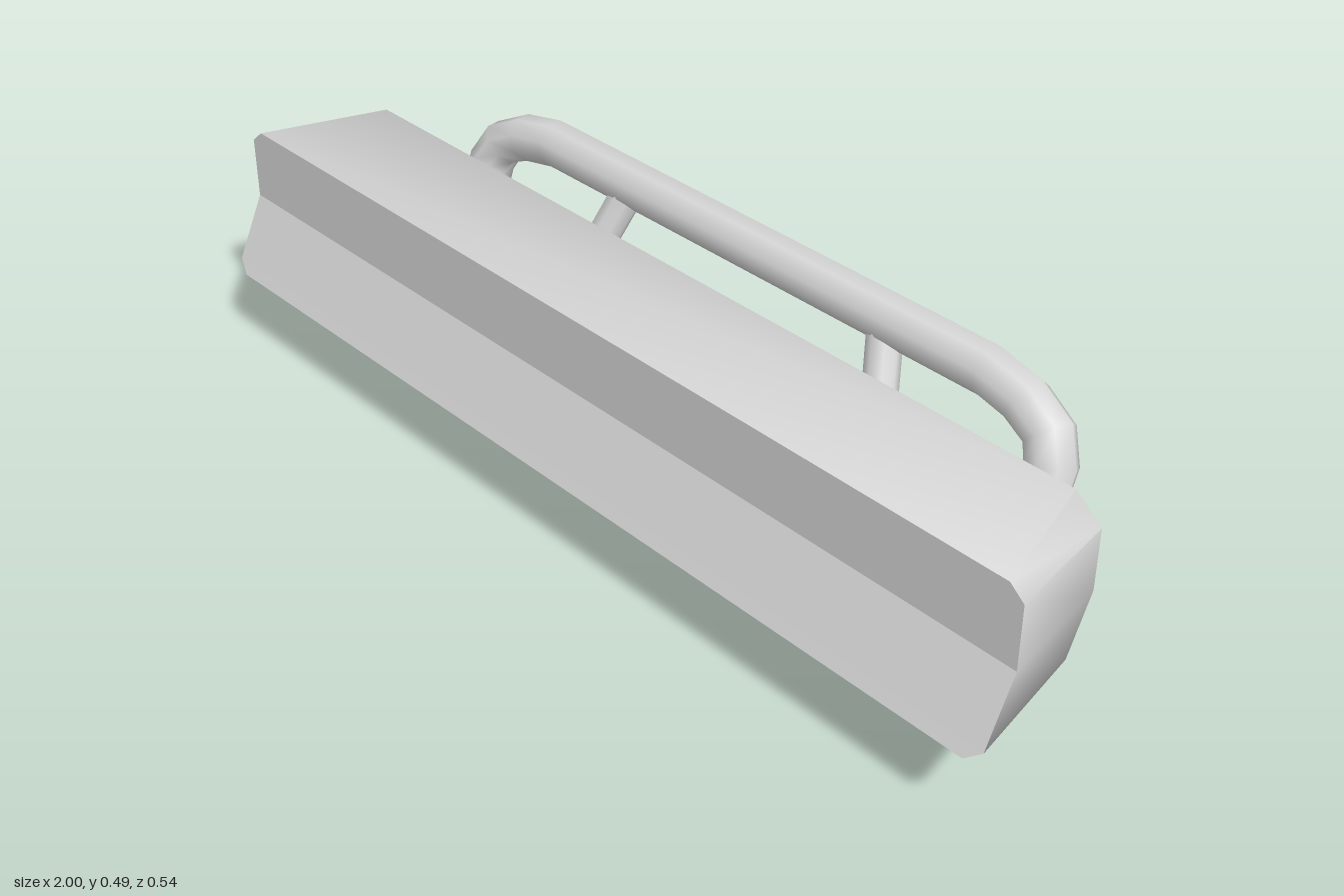
import * as THREE from 'three';
import { toCreasedNormals } from 'three/addons/utils/BufferGeometryUtils.js';

const mirror = (p) => [-p[0], p[1], p[2]];

// Polyline that a TubeGeometry samples exactly at its corners.
class Polyline extends THREE.Curve {
  constructor(points) {
    super();
    this.points = points.map((p) => new THREE.Vector3(...p));
  }
  getPoint(t) {
    return this.points[Math.round(t * (this.points.length - 1))].clone();
  }
  getPointAt(t) {
    return this.getPoint(t);
  }
  getTangentAt(t) {
    const pts = this.points;
    const i = Math.round(t * (pts.length - 1));
    const dir = new THREE.Vector3();
    if (i > 0) dir.add(pts[i].clone().sub(pts[i - 1]).normalize());
    if (i < pts.length - 1) dir.add(pts[i + 1].clone().sub(pts[i]).normalize());
    return dir.normalize();
  }
}

function pipe(points, radius, material, name) {
  const geometry = new THREE.TubeGeometry(new Polyline(points), points.length - 1, radius, 8);
  const mesh = new THREE.Mesh(geometry, material);
  mesh.name = name;
  return mesh;
}

// Flat-cornered geometry from a list of four-corner faces.
function fromQuads(quads) {
  const corners = quads.flatMap(([a, b, c, d]) => [a, b, c, a, c, d]).flat();
  const geometry = new THREE.BufferGeometry();
  geometry.setAttribute('position', new THREE.Float32BufferAttribute(corners, 3));
  geometry.computeVertexNormals();
  return geometry;
}

// Horizontal strips between the mirrored halves of an outline, facing +z.
function capQuads(half) {
  return half.slice(1).map((p, i) => [mirror(half[i]), mirror(p), p, half[i]]);
}

export function createModel() {
  const model = new THREE.Group();
  const grey = new THREE.MeshStandardMaterial({ color: 0xd8d8d8 });
  grey.name = 'light grey metal';

  // Body outlines, +x half, top to bottom: front, shoulder, back
  const halves = [
    [[0.97, 0.465, 0.2], [1, 0.44, 0.2], [1, 0.315, 0.2], [1, 0.19, 0.259], [0.97, 0.167, 0.27]],
    [[0.89, 0.465, -0.05], [0.955, 0.435, -0.035], [0.955, 0.315, -0.035], [0.955, 0.205, 0.015], [0.91, 0.167, 0.03]],
    [[0.865, 0.435, -0.08], [0.88, 0.42, -0.08], [0.88, 0.315, -0.08], [0.88, 0.215, -0.032], [0.865, 0.2, -0.025]],
  ];
  const rings = halves.map((half) => [...half, ...half.map(mirror).reverse()]);

  // Walls between two neighbouring outlines
  const wallQuads = (a, b) => a.map((p, i) => {
    const k = (i + 1) % a.length;
    return [p, a[k], b[k], b[i]];
  });
  const frontWalls = wallQuads(rings[0], rings[1]);
  const [bottomQuad] = frontWalls.splice(4, 1);
  const backPanel = capQuads(halves[2]).map((q) => q.reverse());

  // Smooth shell with a sharp-edged bottom and a creased front panel
  const shellQuads = [...frontWalls, ...wallQuads(rings[1], rings[2]), ...backPanel];
  const shell = new THREE.Mesh(toCreasedNormals(fromQuads(shellQuads), 1.1), grey);
  shell.name = 'bodyShell';
  const bottom = new THREE.Mesh(fromQuads([bottomQuad]), grey);
  bottom.name = 'bottomPanel';
  const front = new THREE.Mesh(fromQuads(capQuads(halves[0])), grey);
  front.name = 'frontPanel';

  // Rectangle on the back, its normals turned inward like the inside of the shell
  const openingGeometry = new THREE.PlaneGeometry(0.8, 0.115).rotateY(Math.PI).scale(1, 1, -1);
  const opening = new THREE.Mesh(openingGeometry, grey);
  opening.position.set(0, 0.375, -0.082);
  opening.name = 'backOpening';
  model.add(shell, bottom, front, opening);

  // Main bar: one pipe from mount to mount, over the top
  const barHalf = [
    [0.735, 0.22, 0.11], [0.735, 0.085, 0.11], [0.735, 0.047, 0.073],
    [0.735, 0.047, -0.046], [0.735, 0.08, -0.096], [0.735, 0.36, -0.196],
    [0.712, 0.404, -0.212], [0.65, 0.433, -0.223], [0.565, 0.449, -0.228],
  ];
  model.add(pipe([...barHalf, ...barHalf.map(mirror).reverse()], 0.047, grey, 'mainBar'));

  // Inner hooks: (z, y) path leaning towards the middle as it rises
  const hookPath = [[0.1, 0.2], [0.1, 0.108], [0.073, 0.083], [-0.035, 0.083], [-0.09, 0.118], [-0.222, 0.44]];
  const hook = hookPath.map(([z, y]) => [0.453 - 0.33 * (y - 0.083), y, z]);
  model.add(pipe(hook, 0.033, grey, 'leftHook'));
  model.add(pipe(hook.map(mirror), 0.033, grey, 'rightHook'));

  return model;
}
